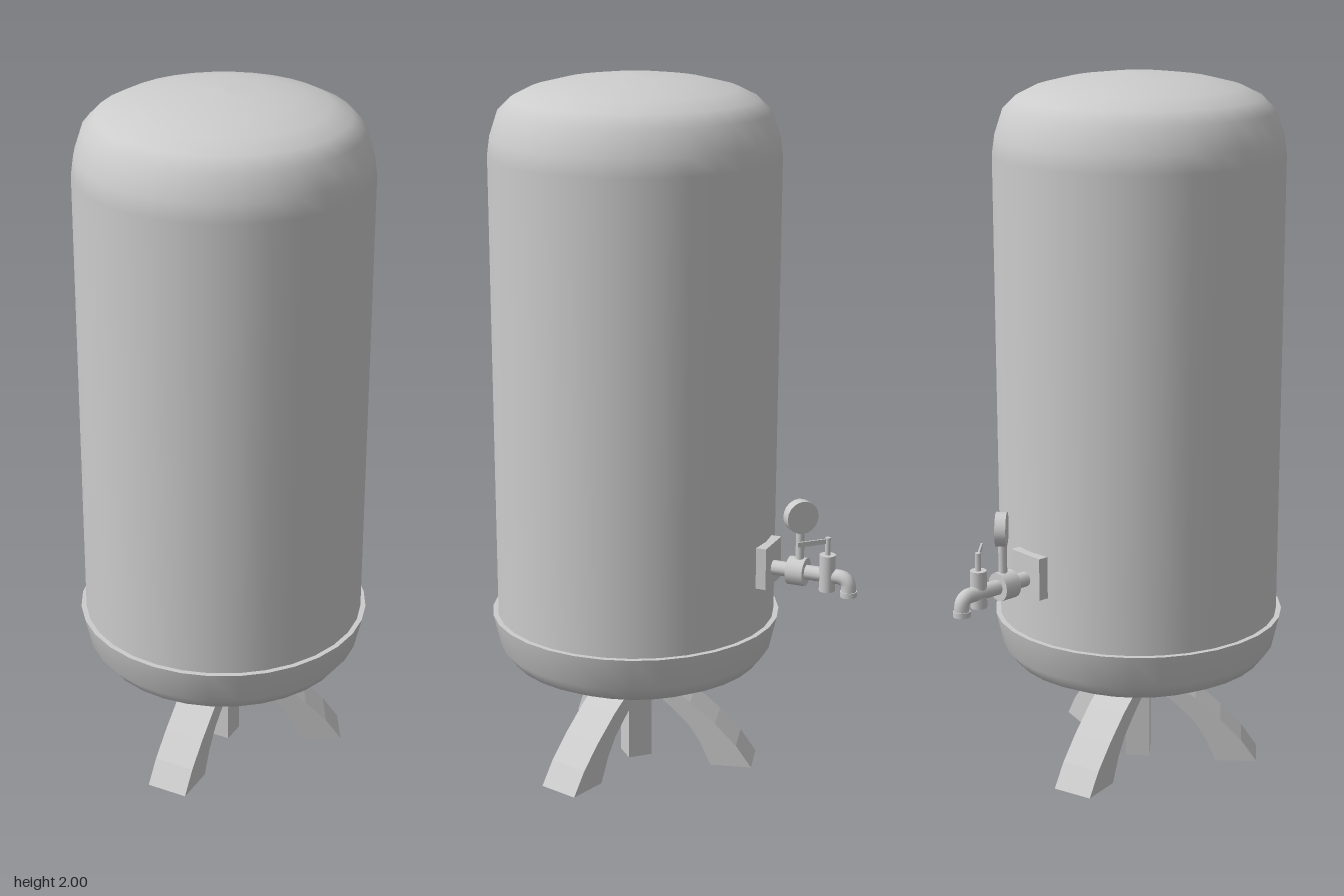
import * as THREE from 'three';

export function createModel() {
  const model = new THREE.Group();
  model.name = 'storageTank';
  const grey = new THREE.MeshStandardMaterial({ color: 0xcccccc, side: THREE.DoubleSide });
  grey.name = 'plain grey';

  const add = (parent, name, geometry, x = 0, y = 0, z = 0) => {
    const mesh = new THREE.Mesh(geometry, grey);
    mesh.name = name;
    mesh.position.set(x, y, z);
    parent.add(mesh);
    return mesh;
  };
  const lathe = (points) => new THREE.LatheGeometry(points.map(([r, y]) => new THREE.Vector2(r, y)), 32);

  // Tank, standing slightly off centre to leave room for the tap
  const tank = new THREE.Group();
  tank.name = 'tank';
  tank.position.set(0.03, 0, 0.03);
  model.add(tank);
  add(tank, 'tankBody', lathe([
    [0.4, 0.42], [0.405, 1.78], [0.398, 1.83], [0.375, 1.9], [0.34, 1.935],
    [0.285, 1.962], [0.2, 1.983], [0.1, 1.996], [0, 2],
  ]));
  add(tank, 'bottomCup', lathe([
    [0, 0.25], [0.1, 0.255], [0.21, 0.272], [0.3, 0.295], [0.362, 0.325], [0.393, 0.365], [0.415, 0.46],
  ]));
  add(tank, 'cupRim', lathe([[0.415, 0.46], [0.398, 0.46]]));

  // Three curved legs around a square centre post
  const legShape = new THREE.Shape([
    [0.23, 0], [0.35, 0], [0.305, 0.065], [0.243, 0.13], [0.17, 0.195], [0.09, 0.252], [0, 0.26],
    [0, 0.225], [0.07, 0.215], [0.12, 0.17], [0.165, 0.125], [0.2, 0.07],
  ].map(([x, y]) => new THREE.Vector2(x, y)));
  const legGeometry = new THREE.ExtrudeGeometry(legShape, { depth: 0.12, bevelEnabled: false });
  legGeometry.translate(0, 0, -0.06);
  ['frontLeg', 'backLeftLeg', 'backRightLeg'].forEach((name, i) => {
    add(tank, name, legGeometry).rotation.y = i * Math.PI * 2 / 3 - Math.PI / 2;
  });
  add(tank, 'centrePost', new THREE.BoxGeometry(0.07, 0.26, 0.07), 0, 0.13, 0);

  // Tap, running outward along its local x towards the back right
  const tap = new THREE.Group();
  tap.name = 'tap';
  tap.rotation.y = Math.PI * 0.75;
  model.add(tap);
  const pipeY = 0.643;
  add(tap, 'mountingPlate', new THREE.BoxGeometry(0.04, 0.12, 0.12), 0.362, 0.655, 0);
  add(tap, 'collar', new THREE.CylinderGeometry(0.04, 0.04, 0.05, 16), 0.455, pipeY, 0).rotation.z = Math.PI / 2;
  const pipe = new THREE.CurvePath();
  const v = (x, y) => new THREE.Vector3(x, y, 0);
  pipe.add(new THREE.LineCurve3(v(0.36, pipeY), v(0.575, pipeY)));
  pipe.add(new THREE.QuadraticBezierCurve3(v(0.575, pipeY), v(0.605, pipeY), v(0.605, 0.613)));
  pipe.add(new THREE.LineCurve3(v(0.605, 0.613), v(0.605, 0.59)));
  add(tap, 'spoutPipe', new THREE.TubeGeometry(pipe, 40, 0.021, 12));
  add(tap, 'spoutLip', new THREE.CylinderGeometry(0.024, 0.024, 0.015, 12), 0.605, 0.5975, 0);

  // Pressure gauge, facing straight back
  add(model, 'gaugeStem', new THREE.CylinderGeometry(0.012, 0.012, 0.11, 10), -0.325, 0.71, -0.326);
  add(model, 'gauge', new THREE.CylinderGeometry(0.047, 0.047, 0.03, 20), -0.325, 0.805, -0.328).rotation.x = Math.PI / 2;

  // Valve with its lever
  add(model, 'valveBody', new THREE.CylinderGeometry(0.023, 0.023, 0.105, 14), -0.381, 0.6525, -0.387);
  add(model, 'valveStem', new THREE.CylinderGeometry(0.008, 0.008, 0.055, 8), -0.381, 0.7275, -0.387);
  add(model, 'valveLever', new THREE.BoxGeometry(0.092, 0.014, 0.005), -0.335, 0.745, -0.387);

  return model;
}
